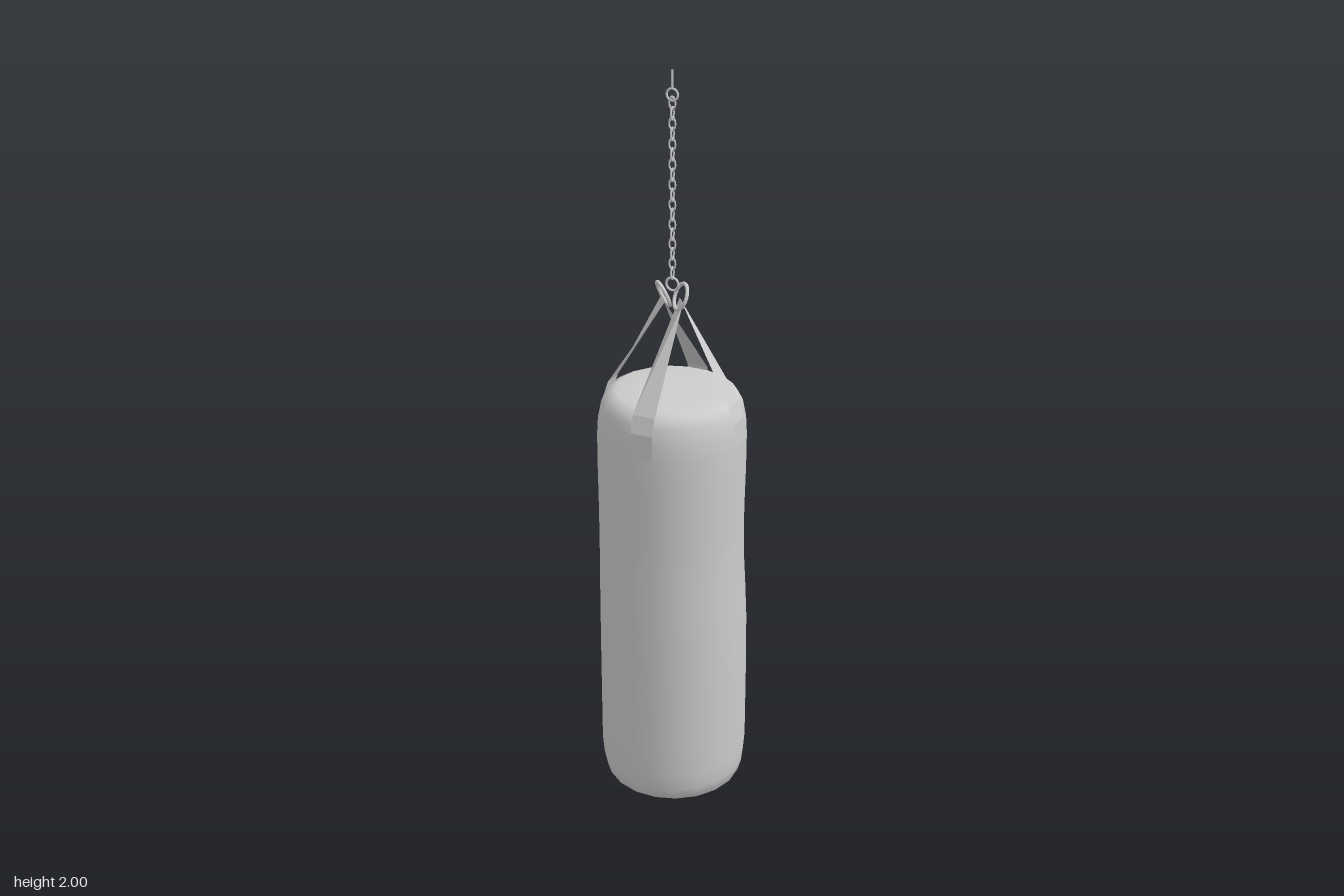
import * as THREE from 'three';

const material = new THREE.MeshStandardMaterial({ color: 0xcccccc, roughness: 0.8 });
const strapMaterial = new THREE.MeshStandardMaterial({ color: 0xcccccc, side: THREE.DoubleSide, flatShading: true });

function addMesh(group, name, geometry, mat = material) {
  const mesh = new THREE.Mesh(geometry, mat);
  mesh.name = name;
  group.add(mesh);
  return mesh;
}

// Soft bump: 1 at the centre, falling to 0 at the given width
const bump = (y, centre, width) => {
  const t = Math.min(1, Math.abs(y - centre) / width);
  return (1 - t * t) ** 2;
};

// Twenty-sided bag with rounded ends, slightly narrowed and dented
function bagGeometry() {
  const profile = [
    [0, 0.008], [0.09, 0.008], [0.165, 0.01], [0.186, 0.025], [0.196, 0.06], [0.2, 0.11], [0.2, 0.2],
    [0.2, 0.35], [0.199, 0.5], [0.197, 0.6], [0.195, 0.68], [0.194, 0.76], [0.194, 0.84], [0.195, 0.95],
    [0.195, 1.05], [0.192, 1.1], [0.183, 1.145], [0.168, 1.168], [0.145, 1.179], [0.09, 1.181], [0, 1.181],
  ].map(([x, y]) => new THREE.Vector2(x, y));
  const geometry = new THREE.LatheGeometry(profile, 20, Math.PI / 20);
  const p = geometry.attributes.position;
  for (let i = 0; i < p.count; i++) {
    const x = p.getX(i), y = p.getY(i), z = p.getZ(i);
    const back = Math.max(0, -z / 0.2);
    p.setZ(i, z + back * 0.014 * bump(y, 0.76, 0.26));
    p.setX(i, x - 0.005 * THREE.MathUtils.smoothstep(y, 0.4, 0.8));
  }
  return geometry;
}

// Ribbon through rows of [left edge, right edge]
function ribbonGeometry(rows) {
  const index = [];
  for (let i = 0; i < rows.length - 1; i++) {
    const a = i * 2;
    index.push(a, a + 2, a + 1, a + 1, a + 2, a + 3);
  }
  const geometry = new THREE.BufferGeometry();
  geometry.setAttribute('position', new THREE.Float32BufferAttribute(rows.flat(2), 3));
  geometry.setIndex(index);
  geometry.computeVertexNormals();
  return geometry;
}

export function createModel() {
  const model = new THREE.Group();
  model.name = 'punchingBag';
  addMesh(model, 'bag', bagGeometry());

  // Two leaning rings side by side that gather the straps
  const rings = [
    { x: -0.029, lean: -0.38, a: [-0.044, 1.415, -0.02], b: [-0.015, 1.415, 0.022] },
    { x: 0.019, lean: 0.38, a: [0.006, 1.415, -0.022], b: [0.033, 1.415, 0.018] },
  ];
  for (const r of rings) {
    const ring = addMesh(model, 'strapRing', new THREE.TorusGeometry(0.034, 0.005, 8, 20));
    ring.position.set(r.x, 1.427, 0);
    ring.rotation.set(-r.lean, -Math.PI / 4, 0, 'YXZ');
  }

  // Four straps: each runs from its ring over the shoulder and down the side
  const path = [[0.176, 1.165], [0.191, 1.12], [0.195, 1.055]];
  const straps = [
    { name: 'frontStrap', ring: rings[1], edges: [-0.03, 0.03], at: (r, y, s) => [s, y, r] },
    { name: 'leftStrap', ring: rings[1], edges: [-0.022, 0.038], at: (r, y, s) => [r - 0.004, y, s] },
    { name: 'backStrap', ring: rings[0], edges: [-0.043, 0.015], at: (r, y, s) => [s, y, -r] },
    { name: 'rightStrap', ring: rings[0], edges: [-0.036, 0.022], at: (r, y, s) => [-r - 0.003, y, s] },
  ];
  for (const { name, ring, edges, at } of straps) {
    const rows = path.map(([r, y]) => edges.map((s) => at(r, y, s)));
    addMesh(model, name, ribbonGeometry([[ring.a, ring.b], ...rows]), strapMaterial);
  }

  // Chain of oval links, each turned a quarter from the last
  const chain = new THREE.Group();
  chain.name = 'chain';
  chain.position.x = -0.004;
  model.add(chain);
  const joiner = addMesh(chain, 'lowerRing', new THREE.TorusGeometry(0.017, 0.0035, 6, 16));
  joiner.position.y = 1.457;
  const linkGeometry = new THREE.TorusGeometry(0.0085, 0.0025, 6, 12);
  linkGeometry.scale(1, 1.7, 1);
  for (let i = 0; i < 18; i++) {
    const link = addMesh(chain, 'chainLink', linkGeometry);
    link.position.y = 1.486 + i * 0.0255;
    link.rotation.y = i % 2 ? 0 : Math.PI / 2;
  }

  // Hanging eye with its stem
  const eye = addMesh(chain, 'hangingEye', new THREE.TorusGeometry(0.015, 0.003, 6, 16));
  eye.position.y = 1.94;
  const stem = addMesh(chain, 'hangingStem', new THREE.CylinderGeometry(0.003, 0.003, 0.046, 8));
  stem.position.y = 1.977;

  // Stand the model on the ground
  model.children.forEach((part) => { part.position.y -= part.name === 'bag' ? 0.008 : 0; });
  return model;
}
